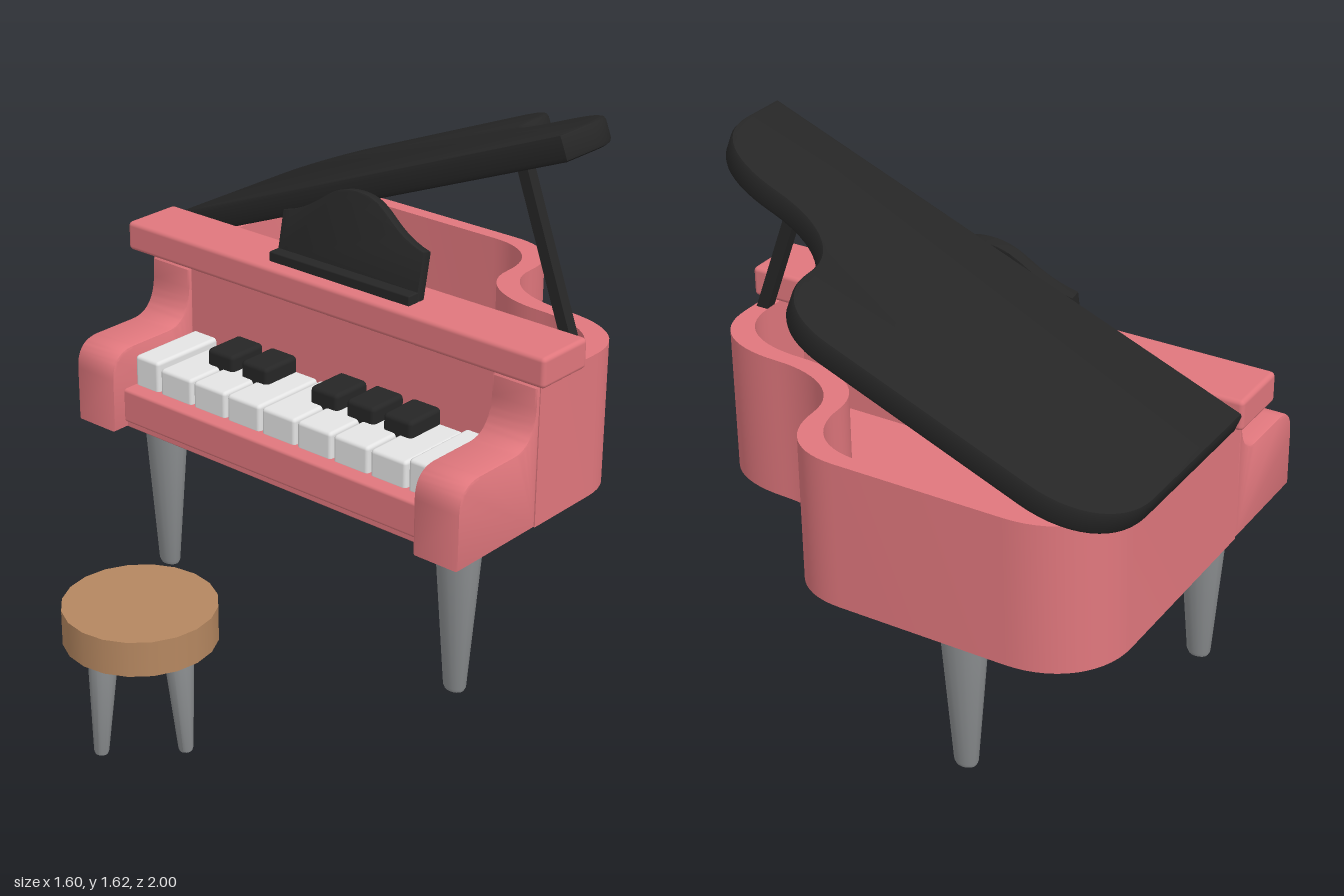
import * as THREE from 'three';
import { toCreasedNormals } from 'three/addons/utils/BufferGeometryUtils.js';
import { RoundedBoxGeometry } from 'three/addons/geometries/RoundedBoxGeometry.js';

const paint = (name, color) => {
  const m = new THREE.MeshStandardMaterial({ color });
  m.name = name;
  return m;
};

// Grand piano outline seen from above; shape y is -z
function outline(S, x0, x1, xs, zf, zs, zb) {
  const s = new S();
  s.moveTo(x0, -zf);
  s.lineTo(x1, -zf);
  s.lineTo(x1, -(zs + 0.2));
  s.bezierCurveTo(x1, -(zs + 0.07), x1 - 0.1, -zs, x1 - 0.26, -zs);
  s.bezierCurveTo(x1 - 0.4, -zs, xs, -(zs - 0.07), xs, -(zs - 0.19));
  s.bezierCurveTo(xs, -(zb + 0.08), xs - 0.07, -zb, xs - 0.2, -zb);
  s.lineTo(x0 + 0.25, -zb);
  s.bezierCurveTo(x0 + 0.1, -zb, x0, -(zb + 0.1), x0, -(zb + 0.23));
  s.closePath();
  return s;
}

function extrude(shape, depth, bevel = 0) {
  const g = new THREE.ExtrudeGeometry(shape, {
    depth: depth - 2 * bevel, curveSegments: 14, bevelEnabled: bevel > 0,
    bevelThickness: bevel, bevelSize: bevel, bevelOffset: -bevel, bevelSegments: 2,
  });
  g.translate(0, 0, bevel);
  return toCreasedNormals(g, 0.6);
}

export function createModel() {
  const root = new THREE.Group();
  root.name = 'pianoAndStool';
  const pink = paint('pink lacquer', 0xe0777d);
  const black = paint('black lacquer', 0x262626);
  const white = paint('white keys', 0xe4e4e4);
  const grey = paint('grey metal', 0x8f9294);
  const wood = paint('brown wood', 0xb58760);

  const add = (name, geo, mat, x = 0, y = 0, z = 0, parent = root) => {
    const m = new THREE.Mesh(geo, mat);
    m.name = name;
    m.position.set(x, y, z);
    parent.add(m);
    return m;
  };
  // Bevelled box given by its extents
  const box = (name, mat, x0, x1, y0, y1, z0, z1, r = 0.01) =>
    add(name, new RoundedBoxGeometry(x1 - x0, y1 - y0, z1 - z0, 2, r), mat,
      (x0 + x1) / 2, (y0 + y1) / 2, (z0 + z1) / 2);

  // Case: curved rim with a hollow inside, and the floor
  const rim = outline(THREE.Shape, -0.72, 0.763, 0.245, -0.11, -0.57, -0.955);
  rim.holes.push(outline(THREE.Path, -0.67, 0.713, 0.195, -0.16, -0.52, -0.905));
  add('rim', extrude(rim, 0.447).rotateX(-Math.PI / 2), pink, 0, 0.53, 0);
  const floor = outline(THREE.Shape, -0.7, 0.743, 0.225, -0.13, -0.55, -0.935);
  add('caseFloor', extrude(floor, 0.08).rotateX(-Math.PI / 2), pink, 0, 0.53, 0);

  // Cheeks beside the keyboard; profile x is z of the model
  const cheek = new THREE.Shape();
  cheek.moveTo(-0.11, 0.53);
  cheek.lineTo(0.24, 0.53);
  cheek.lineTo(0.24, 0.7);
  cheek.bezierCurveTo(0.24, 0.76, 0.21, 0.79, 0.15, 0.79);
  cheek.lineTo(0, 0.79);
  cheek.bezierCurveTo(-0.06, 0.79, -0.09, 0.83, -0.095, 0.9);
  cheek.lineTo(-0.097, 0.96);
  cheek.lineTo(-0.11, 0.977);
  cheek.closePath();
  for (const [name, x] of [['rightCheek', -0.72], ['leftCheek', 0.605]]) {
    add(name, extrude(cheek, 0.158, 0.008).rotateY(-Math.PI / 2), pink, x + 0.158);
  }

  // Key bed and top shelf
  box('keyBed', pink, -0.57, 0.615, 0.55, 0.66, -0.12, 0.196);
  box('keyBedBase', pink, -0.57, 0.615, 0.53, 0.58, -0.12, 0.185, 0.004);
  box('topShelf', pink, -0.8, 0.8, 0.977, 1.07, -0.272, -0.07, 0.014);

  // Nine white keys, the outer two a little higher
  const pitch = 0.1378;
  for (let i = 0; i < 9; i++) {
    const x0 = i === 0 ? -0.562 : -0.598 + i * pitch + 0.004;
    const x1 = i === 8 ? 0.606 : -0.598 + (i + 1) * pitch - 0.004;
    const y1 = i % 8 === 0 ? 0.757 : 0.742;
    box('whiteKey', white, x0, x1, 0.65, y1, -0.12, 0.146, 0.012);
  }
  // Black keys in a group of two and a group of three
  for (const i of [2, 3, 5, 6, 7]) {
    const x = -0.6 + i * pitch;
    box('blackKey', black, x - 0.053, x + 0.053, 0.72, 0.793, -0.12, 0.022, 0.014);
  }

  // Open lid, hinged along the right-hand side
  const lid = outline(THREE.Shape, 0, 1.588, 1.075, -0.272, -0.615, -1);
  const lidMesh = add('lid', extrude(lid, 0.079, 0.014).rotateX(-Math.PI / 2), black, -0.772, 0.965, 0);
  lidMesh.rotation.z = 0.38;

  // Lid prop
  const prop = add('lidProp', new THREE.BoxGeometry(0.036, 0.6, 0.036), black, 0.637, 1.235, -0.307);
  prop.rotation.z = 0.355;

  // Music stand with a humped top, leaning back
  const desk = new THREE.Shape();
  desk.moveTo(-0.268, 0);
  desk.lineTo(0.268, 0);
  desk.lineTo(0.268, 0.145);
  desk.bezierCurveTo(0.12, 0.18, 0.12, 0.262, 0, 0.262);
  desk.bezierCurveTo(-0.12, 0.262, -0.12, 0.18, -0.268, 0.145);
  desk.closePath();
  const stand = add('musicStand', extrude(desk, 0.036, 0.004), black, 0.022, 1.066, -0.184);
  stand.rotation.x = -0.2;
  box('musicLedge', black, -0.246, 0.29, 1.065, 1.1, -0.16, -0.115, 0.004);

  // Tapered legs, slightly flattened front to back
  const profile = (pts) => toCreasedNormals(
    new THREE.LatheGeometry(pts.map(([x, y]) => new THREE.Vector2(x, y)), 16).toNonIndexed(), 0.6);
  const legGeo = profile([[0, 0], [0.031, 0], [0.037, 0.012], [0.08, 0.535]]);
  for (const [name, x, z] of [['frontRightLeg', -0.556, 0.025], ['frontLeftLeg', 0.6, 0.025], ['backLeg', -0.237, -0.775]]) {
    add(name, legGeo, grey, x, 0, z).scale.z = 0.76;
  }

  // Round stool on four splayed legs
  const stool = new THREE.Group();
  stool.name = 'stool';
  stool.position.set(0.087, 0, 0.783);
  root.add(stool);
  add('stoolSeat', new THREE.CylinderGeometry(0.217, 0.217, 0.105, 20), wood, 0, 0.362, 0, stool);
  const stoolLegGeo = profile([[0, 0], [0.018, 0], [0.021, 0.008], [0.043, 0.31]]);
  for (let i = 0; i < 4; i++) {
    const pivot = new THREE.Group();
    pivot.name = 'stoolLegMount';
    pivot.rotation.y = i * Math.PI / 2;
    stool.add(pivot);
    add('stoolLeg', stoolLegGeo, grey, 0.165, 0.01, 0, pivot).rotation.z = 0.065;
  }
  return root;
}
